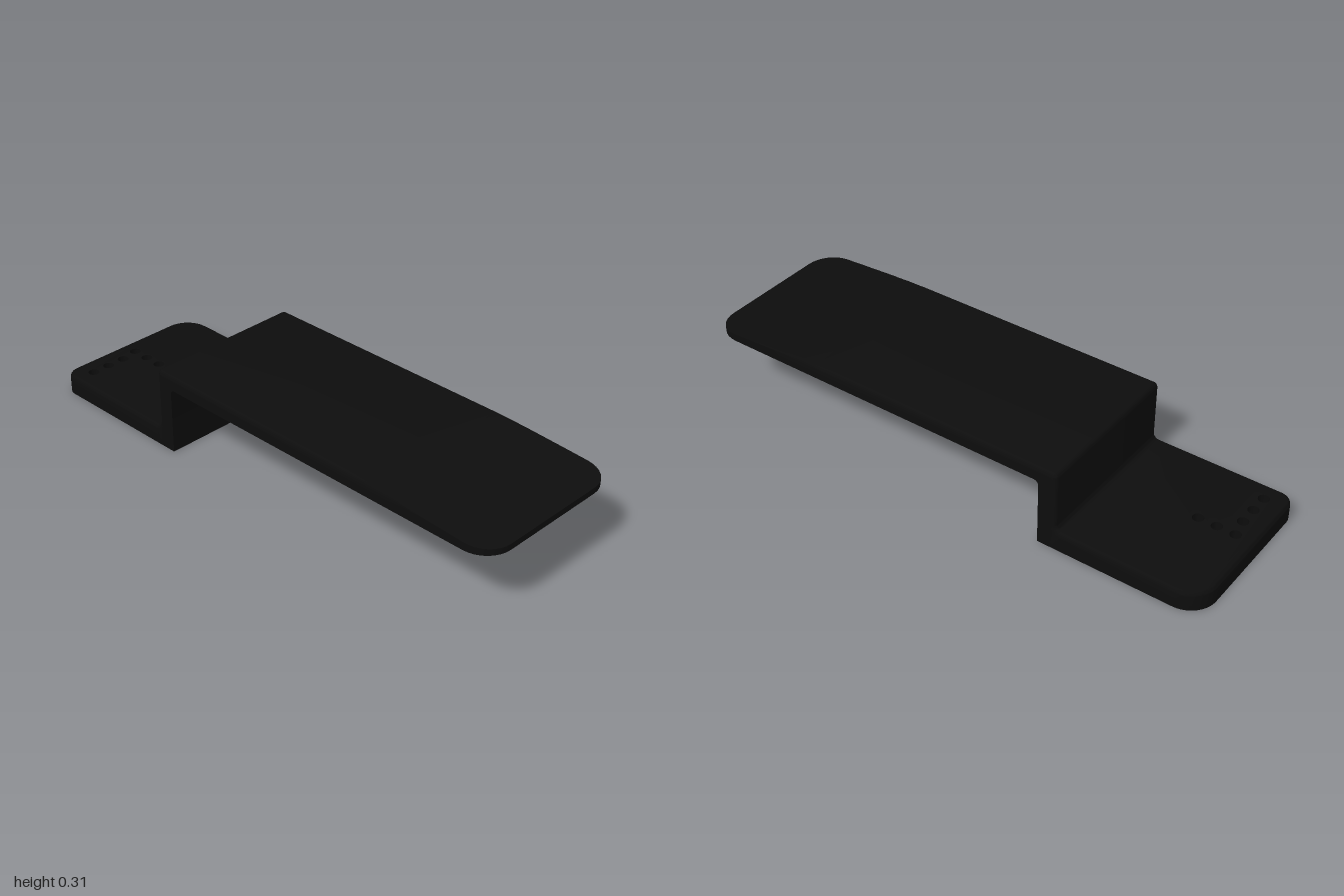
import * as THREE from 'three';
import { toCreasedNormals } from 'three/addons/utils/BufferGeometryUtils.js';

const W = 0.303;      // half width
const R = 0.018;      // edge rounding
const ARC = 6;        // segments per rounding
const TOP = 0.305, UNDER = 0.25, LOW = 0.075;
const BACK = -0.463, INNER = -0.395;
const HALF_PI = Math.PI / 2;

// Sloping top limit towards the front tip
const taper = z => z > 0.46 ? TOP - 0.033 * (z - 0.46) / 0.54 : TOP;

// Upper plate and riser: one loft of round-topped sections along a stepped path
function bentPlate() {
  const stations = [];   // outer point, inner point, outward normal angle, half width
  const add = (oz, oy, iz, iy, a, w = W) => stations.push({ oz, oy, iz, iy, a, w });
  for (let k = 0; k <= 8; k++) {                       // rounded front corners
    const t = HALF_PI * (1 - k / 8), z = 0.9 + 0.1 * Math.sin(t);
    add(z, TOP, z, UNDER, 0, W - 0.1 * (1 - Math.cos(t)));
  }
  for (const z of [0.82, 0.74, 0.67, 0.6, 0.53, 0.46]) add(z, TOP, z, UNDER, 0);
  for (let k = 0; k <= ARC; k++) {                     // bend down into the riser
    const a = HALF_PI * k / ARC, s = Math.sin(a), c = Math.cos(a);
    add(BACK + R - R * s, TOP - R + R * c, INNER + R - R * s, UNDER - R + R * c, a);
  }
  add(BACK, LOW + R, INNER, LOW + R, HALF_PI);
  for (let k = 0; k <= ARC; k++) {                     // bend out onto the lower plate
    const a = HALF_PI * (1 - k / ARC);
    add(BACK - R + R * Math.sin(a), LOW + R - R * Math.cos(a), INNER + (BACK - R - INNER) * k / ARC, 0, a);
  }

  const pos = [], idx = [];
  const n = 2 * (ARC + 2);
  for (const { oz, oy, iz, iy, a, w } of stations) {
    const half = [[w, iy, iz]];
    for (let k = 0; k <= ARC; k++) {
      const t = HALF_PI * k / ARC, drop = R * (1 - Math.sin(t));
      const z = oz + drop * Math.sin(a);
      half.push([w - R * (1 - Math.cos(t)), Math.min(oy - drop * Math.cos(a), taper(z)), z]);
    }
    const mirrored = half.map(([x, y, z]) => [-x, y, z]).reverse();
    for (const p of [...half, ...mirrored]) pos.push(...p);
  }
  for (let i = 0; i < stations.length - 1; i++) {
    for (let j = 0; j < n; j++) {
      const a = i * n + j, b = i * n + (j + 1) % n;
      idx.push(a, a + n, b + n, a, b + n, b);
    }
  }
  for (let j = 1; j < n - 1; j++) idx.push(0, j, j + 1);   // front end face

  const g = new THREE.BufferGeometry();
  g.setAttribute('position', new THREE.Float32BufferAttribute(pos, 3));
  g.setIndex(idx);
  return toCreasedNormals(g.toNonIndexed(), 0.6);
}

// Lower plate: extruded outline with through holes, outer top edge rounded over
function lowerPlate() {
  const near = -(BACK - R), rBig = 0.1, rSmall = 0.05;
  const s = new THREE.Shape();
  s.moveTo(-W, near);
  s.lineTo(W, near);
  s.lineTo(W, 1 - rBig);
  s.absarc(W - rBig, 1 - rBig, rBig, 0, HALF_PI);
  s.lineTo(-W + rSmall, 1);
  s.absarc(-W + rSmall, 1 - rSmall, rSmall, HALF_PI, Math.PI);
  s.lineTo(-W, near);

  const holes = [[-0.231, 0.92], [-0.162, 0.92], [-0.093, 0.92],
    [-0.024, 0.932], [-0.024, 0.864], [-0.024, 0.795]];
  for (const [x, y] of holes) {
    const h = new THREE.Path();
    h.absarc(x, y, 0.02, 0, Math.PI * 2, true);
    s.holes.push(h);
  }

  const steps = ARC + 1;
  const g = new THREE.ExtrudeGeometry(s, { depth: 1, steps, bevelEnabled: false, curveSegments: 10 });
  const p = g.attributes.position;
  for (let i = 0; i < p.count; i++) {
    let x = p.getX(i), y = p.getY(i);
    const level = Math.round(p.getZ(i) * steps);
    const a = HALF_PI * Math.max(level - 1, 0) / ARC;
    const r = x > 0 ? rBig : rSmall, side = Math.sign(x);
    const dx = Math.max(Math.abs(x) - (W - r), 0), dy = Math.max(y - (1 - r), 0);
    if (Math.hypot(dx, dy) > r - 0.001) {              // outline only, not the holes
      const inset = R * (1 - Math.cos(a)) / r;
      x -= side * dx * inset;
      y -= dy * inset;
    }
    p.setXYZ(i, x, y, level === 0 ? 0 : LOW - R + R * Math.sin(a));
  }
  g.rotateX(-HALF_PI);
  return toCreasedNormals(g, 0.6);
}

export function createModel() {
  const black = new THREE.MeshStandardMaterial({ color: 0x0d0d0d });
  black.name = 'matte black';
  const group = new THREE.Group();
  group.name = 'steppedBracket';
  const parts = { upperPlateAndRiser: bentPlate(), lowerPlateWithHoles: lowerPlate() };
  for (const [name, geometry] of Object.entries(parts)) {
    const mesh = new THREE.Mesh(geometry, black);
    mesh.name = name;
    group.add(mesh);
  }
  return group;
}
